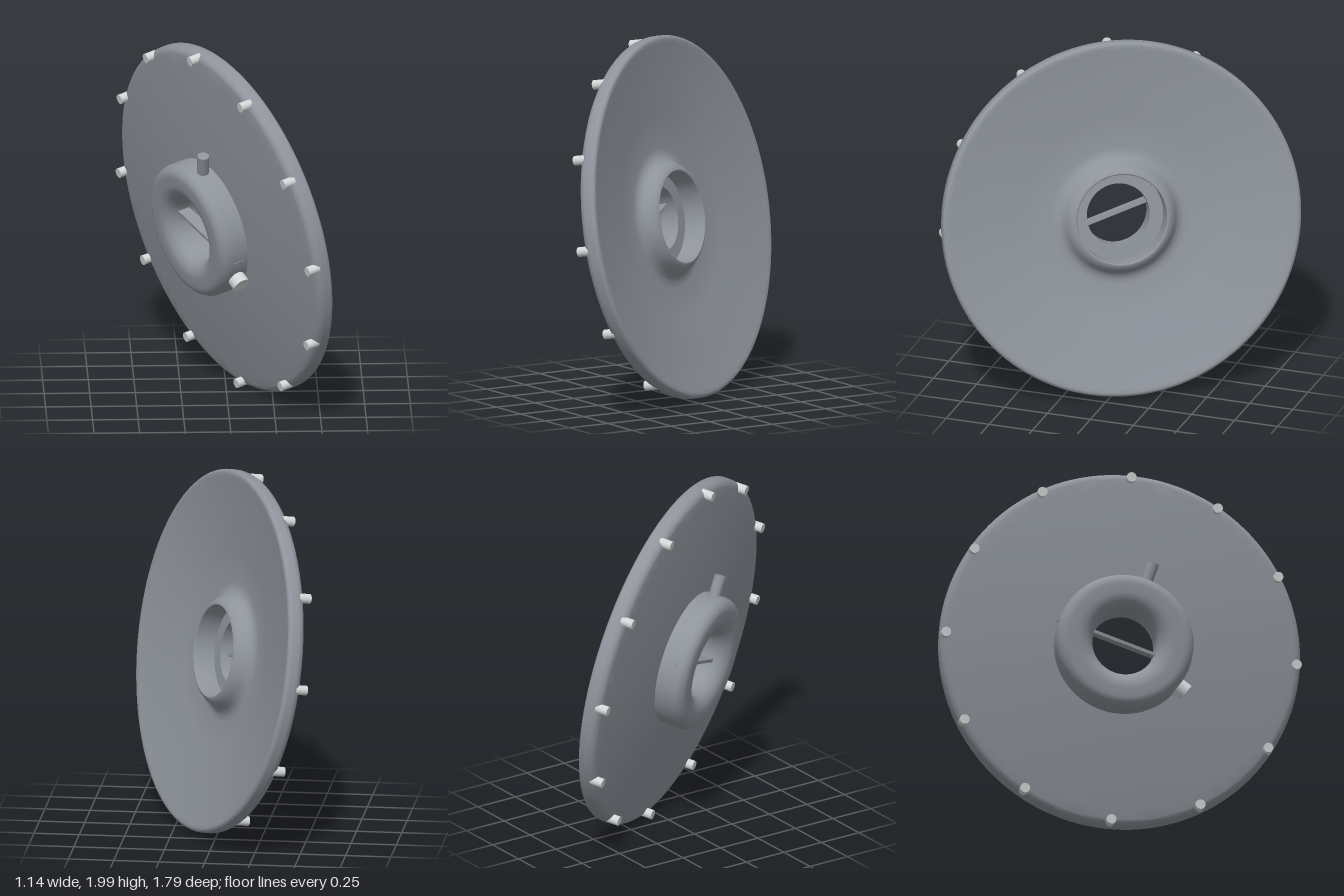
import * as THREE from 'three';
import { toCreasedNormals } from 'three/addons/utils/BufferGeometryUtils.js';

const RAD = Math.PI / 180;

// Points of an arc in (radius, axial) profile space, angles in degrees
function arc(cr, cw, r, from, to, steps = 8) {
  return Array.from({ length: steps + 1 }, (_, i) => {
    const a = (from + ((to - from) * i) / steps) * RAD;
    return [cr + r * Math.cos(a), cw + r * Math.sin(a)];
  });
}

// Solid of revolution about the z axis
function turned(profile, segments = 96) {
  const pts = profile.map(([r, w]) => new THREE.Vector2(r, w));
  const geo = new THREE.LatheGeometry(pts, segments);
  geo.rotateX(Math.PI / 2);
  return toCreasedNormals(geo, 0.5);
}

export function createModel() {
  const model = new THREE.Group();
  const steel = new THREE.MeshStandardMaterial({ color: 0x8f949c });
  steel.name = 'steel grey';
  const bright = new THREE.MeshStandardMaterial({ color: 0xd2d4d6 });
  bright.name = 'bright metal';

  // Everything is built around the z axis, then tilted as one
  const body = new THREE.Group();
  body.name = 'tiltedAssembly';
  body.rotation.set(10 * RAD, -60 * RAD, 0, 'YXZ');
  body.position.y = 1.005;
  model.add(body);

  function add(name, geometry, material, parent = body) {
    const mesh = new THREE.Mesh(geometry, material);
    mesh.name = name;
    parent.add(mesh);
    return mesh;
  }

  // Shallow conical dish with a raised collar around the rear opening
  add('dish', turned([
    [0.25, 0.11], [0.25, -0.038],
    ...arc(0.258, -0.037, 0.008, 180, 300, 4),
    [0.275, -0.036], [0.29, -0.022], [0.302, -0.003], [0.315, 0.02],
    [0.332, 0.038], [0.355, 0.047], [0.385, 0.05],
    [0.55, 0.025], [0.75, -0.008], [0.9, -0.034], [0.955, -0.046],
    ...arc(0.978, -0.028, 0.022, 260, 360),
    ...arc(0.955, 0.005, 0.045, 0, 84),
    [0.9, 0.056], [0.37, 0.11], [0.25, 0.11],
  ], 128), steel);

  // Hub with rounded outer edge and a funnel-shaped bore
  add('hub', turned([
    [0.175, 0.08], [0.38, 0.08],
    ...arc(0.32, 0.21, 0.06, 0, 90),
    [0.295, 0.27],
    ...arc(0.275, 0.17, 0.1, 90, 180, 12),
    [0.175, 0.08],
  ]), steel);

  // Flat bar across the bore, its ends just showing on the hub wall
  const bar = add('crossBar', new THREE.BoxGeometry(0.766, 0.018, 0.07), steel);
  bar.rotation.z = -18 * RAD;
  bar.position.z = 0.165;

  // Radial fittings on the hub wall
  function radialPeg(name, angle, radius, inner, outer, w, material) {
    const geo = new THREE.CylinderGeometry(radius, radius, outer - inner, 32);
    geo.translate(0, (inner + outer) / 2, 0);
    const peg = add(name, geo, material);
    peg.rotation.z = (angle - 90) * RAD;
    peg.position.z = w;
  }
  radialPeg('topPin', 72, 0.033, 0.34, 0.49, 0.165, steel);
  radialPeg('sideKnob', -36, 0.05, 0.34, 0.435, 0.167, bright);

  // Ring of twelve bolts around the front of the rim
  const bolts = new THREE.Group();
  bolts.name = 'rimBolts';
  bolts.rotation.z = -1.8 * RAD;
  body.add(bolts);
  const boltGeo = new THREE.CylinderGeometry(0.027, 0.027, 0.07, 24);
  boltGeo.rotateX(Math.PI / 2);
  for (let i = 0; i < 12; i++) {
    const a = i * 30 * RAD;
    add('rimBolt', boltGeo, bright, bolts)
      .position.set(0.973 * Math.cos(a), 0.973 * Math.sin(a), 0.055);
  }
  return model;
}
